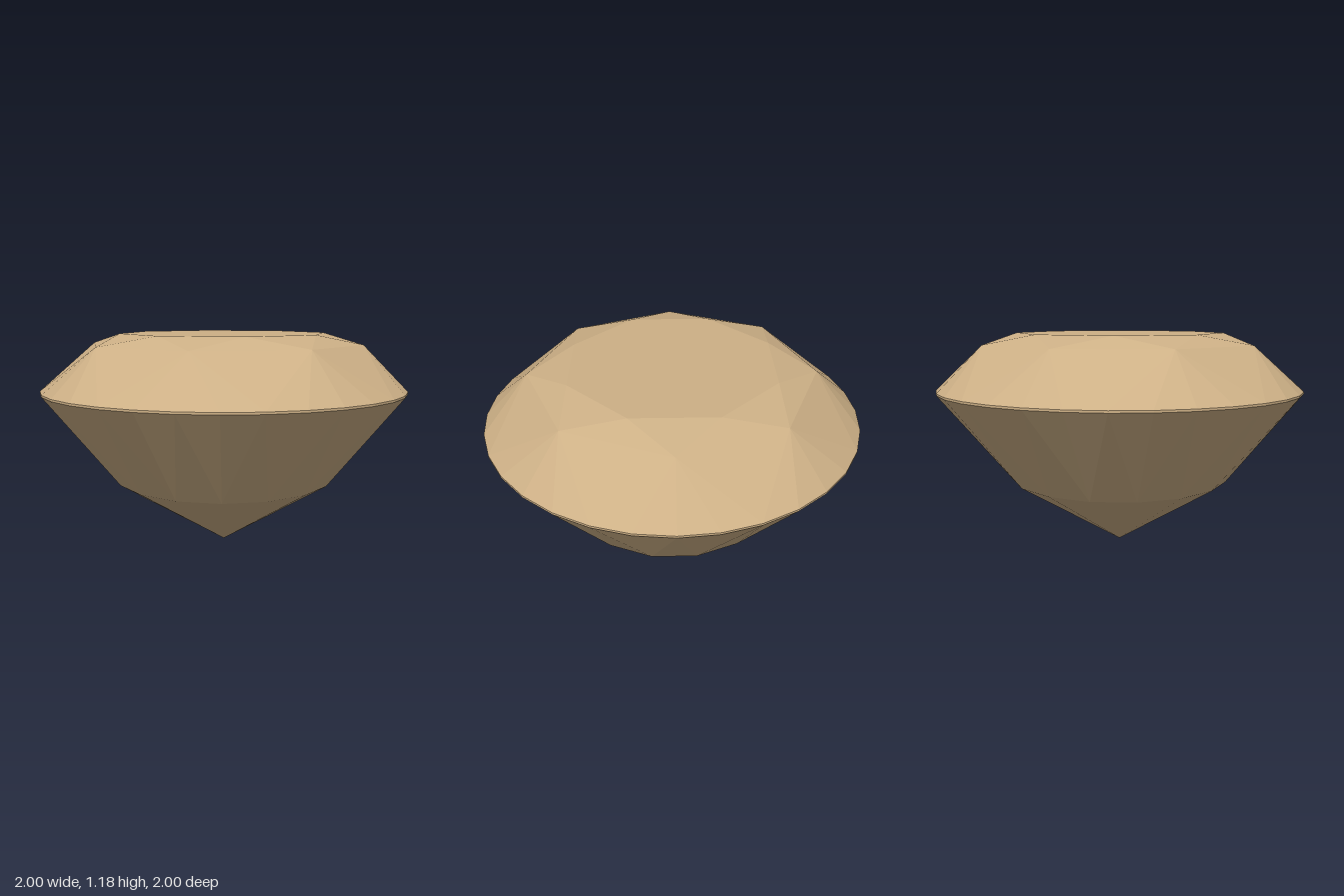
import * as THREE from 'three';

const N = 32; // girdle sides; all angles are counted in 32nds of a turn

// Point on a horizontal ring
function ring(radius, y) {
  return (i) => {
    const a = (i / N) * Math.PI * 2;
    return [radius * Math.sin(a), y, radius * Math.cos(a)];
  };
}

export function createModel() {
  const group = new THREE.Group();
  group.name = 'cutGem';
  const material = new THREE.MeshStandardMaterial({ color: 0xcdb086, flatShading: true });
  material.name = 'champagne stone';

  const table = ring(0.57, 1.176);
  const star = ring(0.76, 1.118);
  const girdleTop = ring(1, 0.873);
  const girdleBottom = ring(1, 0.862);
  const lower = ring(0.6, 0.365);
  const culet = [0, 0, 0];

  // Unshared triangles give crisp flat facets
  function addPart(name, triangles) {
    const geometry = new THREE.BufferGeometry();
    geometry.setAttribute('position', new THREE.Float32BufferAttribute(triangles.flat(2), 3));
    geometry.computeVertexNormals();
    const mesh = new THREE.Mesh(geometry, material);
    mesh.name = name;
    group.add(mesh);
  }

  // Octagonal table and crown facets, eightfold
  const tableFacets = [];
  const crown = [];
  for (let i = 0; i < N; i += 4) {
    const mid = star(i + 2);
    tableFacets.push([[0, 1.176, 0], table(i), table(i + 4)]);
    crown.push([mid, table(i + 4), table(i)]); // star facet
    crown.push([star(i - 2), mid, table(i)]); // upper half of kite
    crown.push([girdleTop(i), mid, star(i - 2)]); // lower half of kite
    for (let j = i; j < i + 4; j++) crown.push([girdleTop(j), girdleTop(j + 1), mid]);
  }
  addPart('table', tableFacets);
  addPart('crown', crown);

  // Thin girdle band
  const girdle = [];
  for (let i = 0; i < N; i++) {
    girdle.push([girdleBottom(i), girdleBottom(i + 1), girdleTop(i + 1)]);
    girdle.push([girdleBottom(i), girdleTop(i + 1), girdleTop(i)]);
  }
  addPart('girdle', girdle);

  // Pavilion facets down to the point, sixteenfold
  const pavilion = [];
  const point = [];
  for (let i = 1; i < N; i += 2) {
    pavilion.push([lower(i), girdleBottom(i), girdleBottom(i - 1)]);
    pavilion.push([lower(i), girdleBottom(i + 1), girdleBottom(i)]);
    pavilion.push([lower(i), lower(i + 2), girdleBottom(i + 1)]);
    point.push([culet, lower(i + 2), lower(i)]);
  }
  addPart('pavilion', pavilion);
  addPart('culetPoint', point);

  return group;
}
